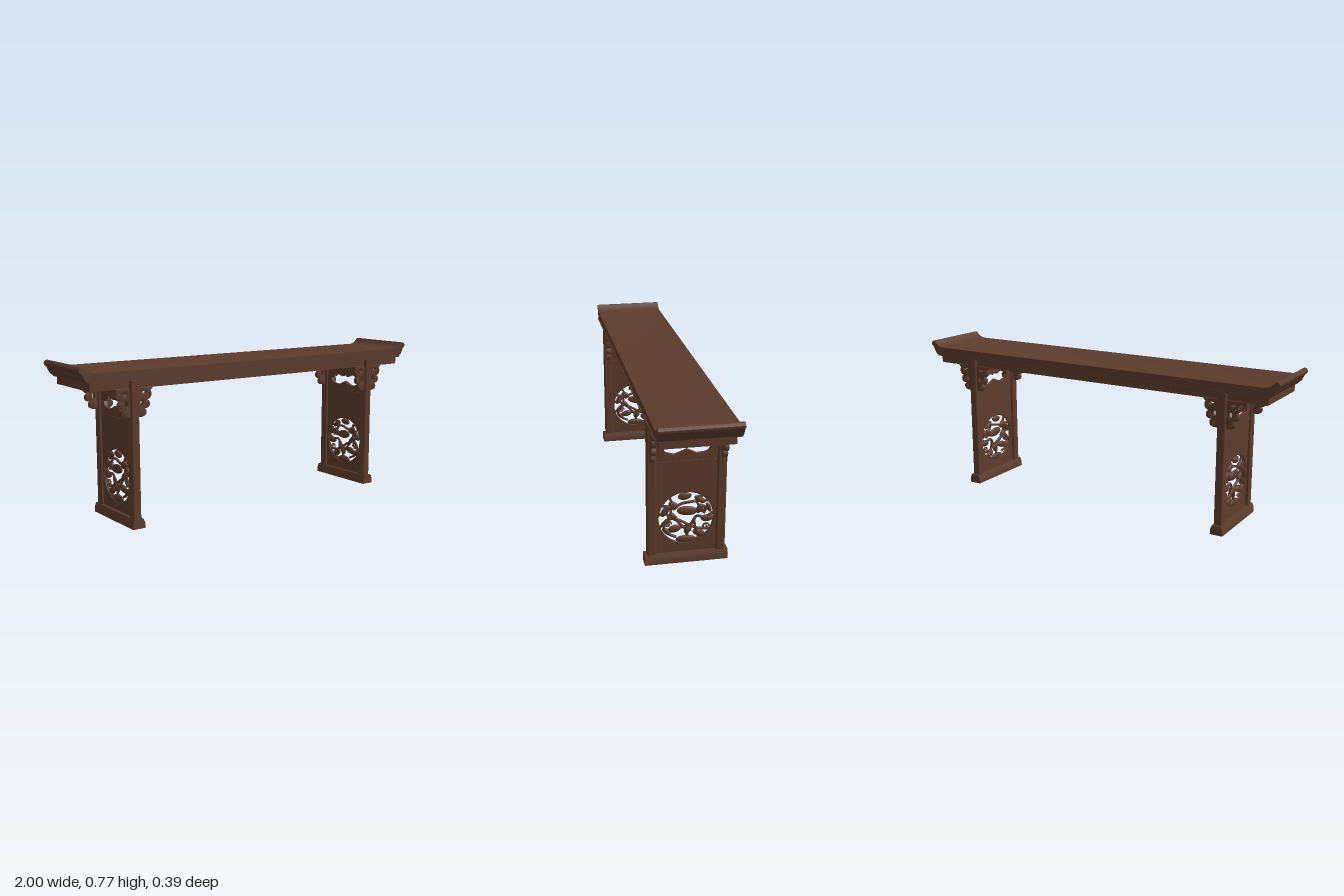
import * as THREE from 'three';
import { toCreasedNormals } from 'three/addons/utils/BufferGeometryUtils.js';
import { RoundedBoxGeometry } from 'three/addons/geometries/RoundedBoxGeometry.js';

const wood = new THREE.MeshStandardMaterial({ color: 0x5c3c2d });
wood.name = 'dark walnut';

function add(parent, name, geometry, x = 0, y = 0, z = 0) {
  const mesh = new THREE.Mesh(geometry, wood);
  mesh.name = name;
  mesh.position.set(x, y, z);
  parent.add(mesh);
  return mesh;
}

// Box given by its limits
function board(parent, name, x0, x1, y0, y1, z0, z1) {
  return add(parent, name, new THREE.BoxGeometry(x1 - x0, y1 - y0, z1 - z0),
    (x0 + x1) / 2, (y0 + y1) / 2, (z0 + z1) / 2);
}

// Extrusion centred on its own thickness, with sharp edges kept
function slab(shape, depth, bevel = 0) {
  const g = new THREE.ExtrudeGeometry(shape, {
    depth: depth - 2 * bevel, curveSegments: 10, bevelEnabled: bevel > 0,
    bevelSize: bevel, bevelThickness: bevel, bevelOffset: -bevel, bevelSegments: 2,
  });
  g.translate(0, 0, -depth / 2 + bevel);
  return toCreasedNormals(g, 0.6);
}

const vectors = (pts) => pts.map(([x, y]) => new THREE.Vector2(x, y));

// Table top with upturned ends
function makeTop(parent) {
  const half = [[0.93, 0.736], [0.955, 0.743], [0.972, 0.757], [0.981, 0.768], [0.992, 0.767],
    [1.0, 0.756], [0.998, 0.745], [0.988, 0.738], [0.98, 0.722], [0.972, 0.706], [0.958, 0.695]];
  const outline = [...half, ...half.map(([x, y]) => [-x, y]).reverse()].reverse();
  add(parent, 'tableTop', slab(new THREE.Shape(vectors(outline)), 0.364), 0, 0, -0.003);
  board(parent, 'edgeBead', -0.955, 0.955, 0.69, 0.698, -0.187, 0.183);
}

// Hollow apron frame under the top
function makeApron(parent) {
  for (const s of [-1, 1]) {
    add(parent, 'longApron', new THREE.BoxGeometry(1.89, 0.038, 0.02), 0, 0.673, s * 0.155);
    add(parent, 'apronBead', new THREE.BoxGeometry(1.88, 0.005, 0.024), 0, 0.6545, s * 0.155);
    add(parent, 'endApron', new THREE.BoxGeometry(0.02, 0.038, 0.3), s * 0.935, 0.673, 0);
  }
}

// Carved cloud bracket that sits beside a leg; u runs away from the leg
function bracketGeometry() {
  const shape = new THREE.Shape();
  shape.moveTo(0, 0.655);
  shape.lineTo(0, 0.522);
  shape.bezierCurveTo(0.015, 0.515, 0.045, 0.518, 0.046, 0.538);
  shape.bezierCurveTo(0.047, 0.548, 0.042, 0.553, 0.036, 0.558);
  shape.bezierCurveTo(0.055, 0.553, 0.068, 0.565, 0.064, 0.583);
  shape.bezierCurveTo(0.062, 0.59, 0.057, 0.594, 0.053, 0.597);
  shape.bezierCurveTo(0.072, 0.6, 0.08, 0.62, 0.069, 0.638);
  shape.lineTo(0.085, 0.655);
  for (const [x, y, rx, ry] of [[0.022, 0.585, 0.006, 0.014], [0.036, 0.632, 0.011, 0.005]]) {
    const hole = new THREE.Path();
    hole.absellipse(x, y, rx, ry, 0, Math.PI * 2, true);
    shape.holes.push(hole);
  }
  return slab(shape, 0.02, 0.003);
}

// Spiral relief tube
function curlGeometry(radius, turns, thickness) {
  const pts = [];
  for (let i = 0; i <= 16; i++) {
    const t = i / 16, a = t * turns * Math.PI * 2, r = radius * (1 - 0.8 * t);
    pts.push(new THREE.Vector3(Math.cos(a) * r, Math.sin(a) * r, 0));
  }
  return new THREE.TubeGeometry(new THREE.CatmullRomCurve3(pts), 28, thickness, 6);
}

function makeBracket() {
  const g = new THREE.Group();
  g.name = 'bracket';
  add(g, 'bracketBody', bracketGeometry());
  for (const s of [-1, 1]) {
    add(g, 'bracketCurl', curlGeometry(0.014, 1.4, 0.003), 0.054, 0.617, s * 0.009);
    add(g, 'bracketCurl', curlGeometry(0.011, 1.4, 0.003), 0.048, 0.575, s * 0.009);
    add(g, 'bracketCurl', curlGeometry(0.012, 1.4, 0.003), 0.028, 0.537, s * 0.009);
  }
  return g;
}

// Openwork medallion, drawn in a unit circle: a across, b up
function makeMedallion() {
  const R = 0.128;
  const g = new THREE.Group();
  g.name = 'carvedMedallion';
  add(g, 'medallionRing', new THREE.TorusGeometry(0.13, 0.005, 6, 48));
  const stems = [
    [[-0.95, -0.35], [-0.6, 0.0], [-0.25, -0.1], [0.1, -0.3], [0.5, -0.5], [0.85, -0.5]],
    [[-0.85, 0.5], [-0.6, 0.45], [-0.5, 0.1], [-0.2, -0.25], [0.05, -0.6], [-0.05, -0.98]],
    [[-0.6, 0.8], [-0.4, 0.5], [-0.1, 0.55], [0.15, 0.6], [0.5, 0.6], [0.8, 0.6]],
    [[0.98, 0.1], [0.7, -0.05], [0.4, 0.0], [0.15, -0.3], [-0.2, -0.4], [-0.4, -0.45]],
    [[0.6, 0.8], [0.4, 0.75], [0.45, 0.45], [0.7, 0.35], [0.65, 0.1]],
    [[-0.98, 0.15], [-0.75, 0.25], [-0.6, -0.1], [-0.8, -0.3], [-0.65, -0.6], [-0.35, -0.75]],
    [[0.3, -0.1], [0.35, -0.45], [0.55, -0.75], [0.3, -0.93]],
  ];
  for (const pts of stems) {
    const curve = new THREE.CatmullRomCurve3(
      pts.map(([a, b], i) => new THREE.Vector3(a * R, b * R, i % 2 ? 0.003 : -0.002)));
    add(g, 'stem', new THREE.TubeGeometry(curve, 36, 0.0065, 6));
  }
  // Leaves and blossoms: centre, half length, half width, turn
  const leaves = [
    [0.05, 0.25, 0.38, 0.18, -0.1], [-0.05, 0.83, 0.25, 0.14, 0.1], [0.76, -0.1, 0.23, 0.13, 0],
    [0.5, 0.66, 0.24, 0.1, -0.6], [-0.4, -0.42, 0.25, 0.14, 0.2], [-0.74, 0.3, 0.25, 0.12, 1.0],
    [0.48, -0.66, 0.25, 0.14, -0.5], [0, -0.86, 0.36, 0.14, 0], [-0.7, -0.5, 0.2, 0.1, -0.8],
    [0.5, 0.3, 0.2, 0.12, 1.0], [-0.45, 0.5, 0.2, 0.13, -0.6], [-0.45, 0.05, 0.22, 0.1, -0.9],
    [0.08, -0.48, 0.2, 0.12, 1.1], [0.82, 0.32, 0.2, 0.08, 1.9],
  ];
  const ball = new THREE.SphereGeometry(1, 14, 10);
  for (const [a, b, l, w, turn] of leaves) {
    const leaf = add(g, 'leaf', ball, a * R, b * R, 0);
    leaf.scale.set(l * R, w * R, 0.011);
    leaf.rotation.z = turn;
  }
  for (const [a, b] of [[-0.42, 0.42], [0.05, -0.55], [0.58, 0.25], [-0.65, -0.22], [0.72, -0.42]]) {
    add(g, 'tendril', curlGeometry(0.017, 1.3, 0.004), a * R, b * R, 0.002);
  }
  return g;
}

// Trestle end: foot, two posts, pierced panels, rails and brackets
function makeTrestle() {
  const g = new THREE.Group();
  g.name = 'trestle';

  const foot = [[-0.032, 0], [0.032, 0], [0.031, 0.026], [0.026, 0.038], [0.023, 0.046],
    [-0.023, 0.046], [-0.026, 0.038], [-0.031, 0.026]];
  add(g, 'foot', slab(new THREE.Shape(vectors(foot)), 0.386));

  for (const s of [-1, 1]) {
    add(g, 'post', new RoundedBoxGeometry(0.042, 0.655, 0.043, 3, 0.008), 0, 0.3675, s * 0.1595);
    for (const side of [-1, 1]) {
      const bracket = makeBracket();
      bracket.position.set(side * 0.018, 0, s * 0.161);
      if (side < 0) bracket.rotation.y = Math.PI;
      g.add(bracket);
    }
  }
  board(g, 'topRail', -0.014, 0.014, 0.625, 0.69, -0.145, 0.145);
  board(g, 'middleRail', -0.012, 0.012, 0.49, 0.5, -0.14, 0.14);

  // Panels are drawn facing front and turned to face the table's end
  const panels = new THREE.Group();
  panels.name = 'panels';
  panels.rotation.y = Math.PI / 2;
  const rectangle = (y0, y1) => new THREE.Shape(vectors([[-0.14, y0], [0.14, y0], [0.14, y1], [-0.14, y1]]));

  const upper = rectangle(0.495, 0.63);
  upper.holes.push(new THREE.Path(vectors([[-0.106, 0.56], [-0.095, 0.578], [-0.062, 0.592],
    [-0.045, 0.588], [-0.018, 0.577], [0, 0.592], [0.018, 0.577], [0.05, 0.585], [0.07, 0.592],
    [0.098, 0.582], [0.11, 0.56], [0.1, 0.54], [0.085, 0.532], [0.045, 0.529], [0.02, 0.542],
    [0, 0.551], [-0.025, 0.54], [-0.055, 0.529], [-0.095, 0.541]])));
  add(panels, 'upperPanel', slab(upper, 0.018));

  const lower = rectangle(0.04, 0.495);
  const round = new THREE.Path();
  round.absarc(0, 0.215, 0.13, 0, Math.PI * 2, true);
  lower.holes.push(round);
  add(panels, 'lowerPanel', toCreasedNormals(new THREE.ExtrudeGeometry(lower,
    { depth: 0.016, curveSegments: 48, bevelEnabled: false }), 0.6), 0, 0, -0.008);

  const medallion = makeMedallion();
  medallion.position.y = 0.215;
  panels.add(medallion);
  g.add(panels);
  return g;
}

export function createModel() {
  const model = new THREE.Group();
  model.name = 'altarTable';
  makeTop(model);
  makeApron(model);
  for (const s of [-1, 1]) {
    const trestle = makeTrestle();
    trestle.position.x = s * 0.726;
    model.add(trestle);
  }
  return model;
}
